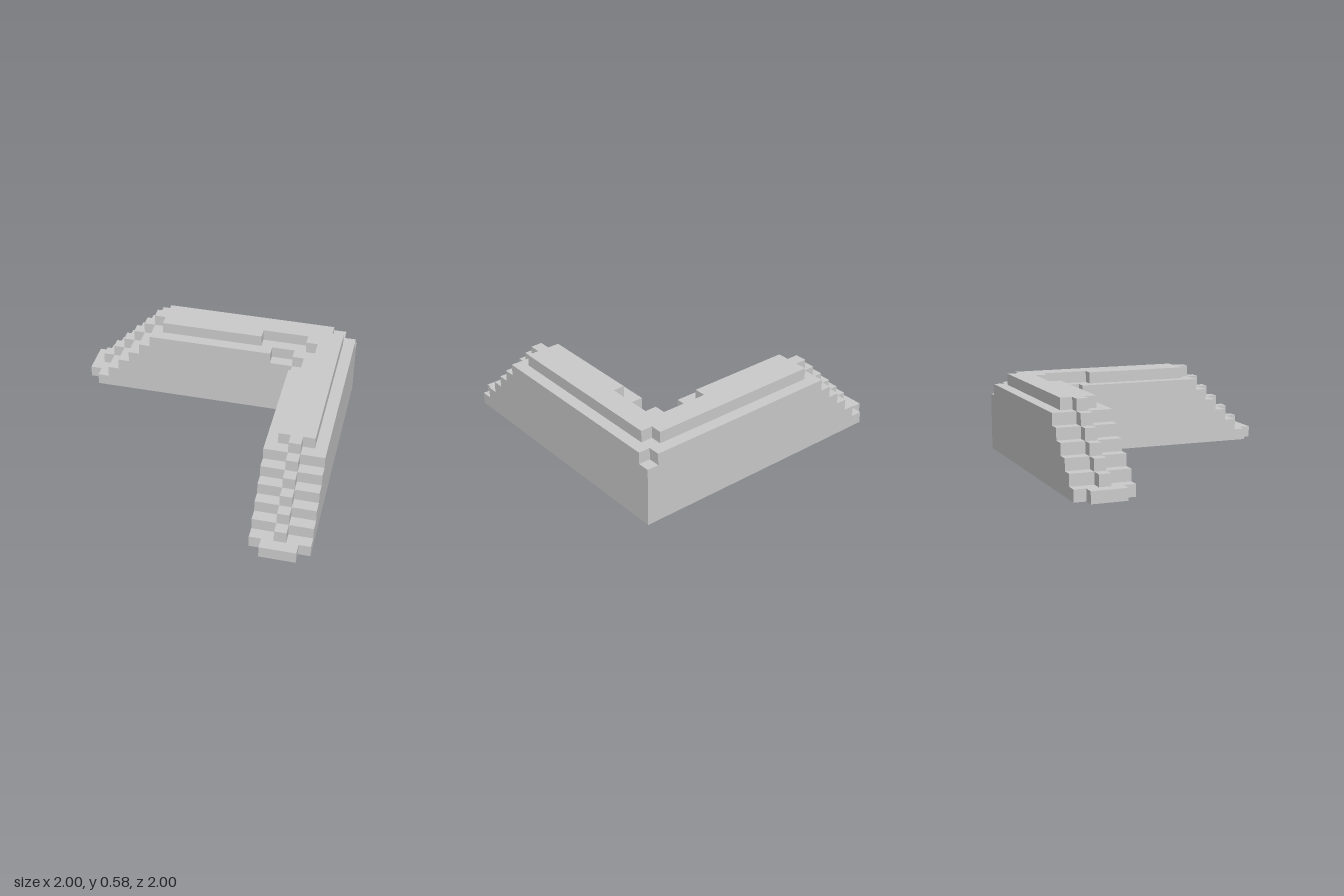
import * as THREE from 'three';

const U = 1 / 12; // block size: the L-shaped wall is 24 x 7 x 24 blocks

// Swap the two arms of the L (reflection across its diagonal).
const mirror = ([x, z]) => [24 - z, 24 - x];

// Outline of one course: from the outer corner, round the stepped tip of the
// back arm, to the inner corner, then the same mirrored along the side arm.
function courseOutline(k, outer, inner) {
  const [near, far] = k < 6 ? [0, 5] : [1, 4]; // edges of the arm
  const [r0, r1] = k ? [2, 3] : [1, 4];        // edges of the protruding tip
  const tip = [
    [k + 1, near], [k + 1, r0], [k, r0],
    [k, r1], [k + 1, r1], [k + 1, far],
  ];
  const half = [...outer, ...tip, ...inner];
  const all = [...half, ...half.map(mirror).reverse()];
  // drop the corner points that lie on the diagonal and so appear twice
  return all.filter((p, i) => {
    const q = all[(i + 1) % all.length];
    return p[0] !== q[0] || p[1] !== q[1];
  });
}

export function createModel() {
  const group = new THREE.Group();
  group.name = 'steppedCornerWall';
  const material = new THREE.MeshStandardMaterial({ color: 0xcccccc, flatShading: true });

  function addCourse(name, k, outer, inner) {
    const points = courseOutline(k, outer, inner)
      .map(([x, z]) => new THREE.Vector2((x - 12) * U, (12 - z) * U));
    const geometry = new THREE.ExtrudeGeometry(new THREE.Shape(points), {
      depth: U, bevelEnabled: false,
    });
    geometry.rotateX(-Math.PI / 2);
    const mesh = new THREE.Mesh(geometry, material);
    mesh.name = name;
    mesh.position.y = k * U;
    group.add(mesh);
  }

  // plain wall courses, each one block shorter at both ends
  for (let k = 0; k < 5; k++) addCourse(`wallCourse${k + 1}`, k, [[24, 0]], [[19, 5]]);

  // ledge with a notched outer corner and two recesses by the inner corner
  addCourse('ledgeCourse', 5, [[23, 1], [23, 0]], [[17, 5], [17, 4], [19, 4], [19, 5]]);

  // narrow coping, cut back at the corner
  addCourse('coping', 6, [[22, 2], [22, 1]], [[16, 4], [16, 3], [20, 3], [20, 4]]);

  return group;
}
